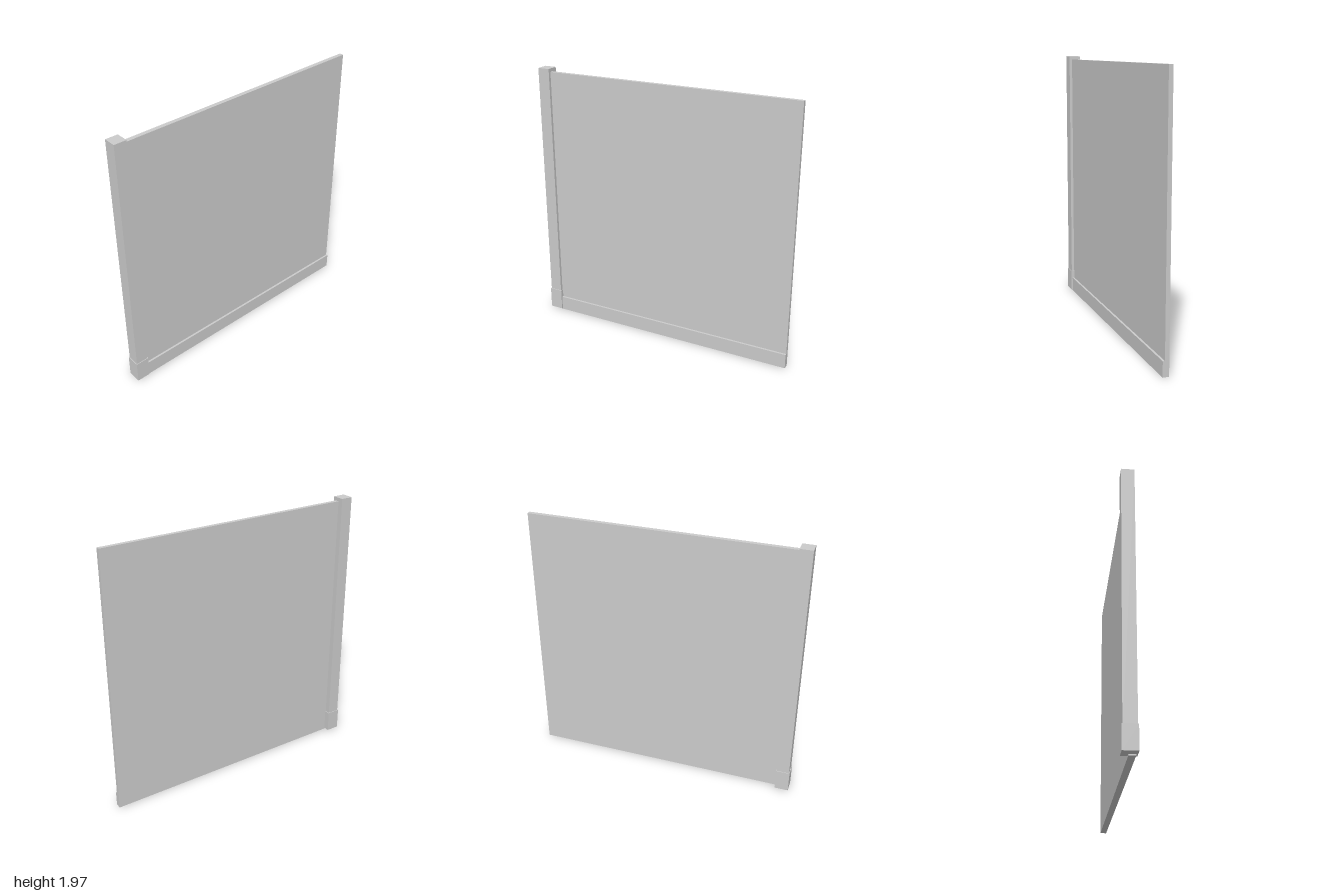
import * as THREE from 'three';

export function createModel() {
  const group = new THREE.Group();
  const material = new THREE.MeshStandardMaterial({ color: 0xcccccc, flatShading: true });

  // Box given by its [min, max] extent on each axis
  function box(name, x, y, z) {
    const size = [x, y, z].map(([a, b]) => b - a);
    const mesh = new THREE.Mesh(new THREE.BoxGeometry(...size), material);
    mesh.position.set(...[x, y, z].map(([a, b]) => (a + b) / 2));
    mesh.name = name;
    group.add(mesh);
  }

  // Thin wall panel, its front edge set into the post
  box('wallPanel', [-0.006, 0.024], [0, 1.945], [-1, 0.94]);
  // Skirting along the foot of one face
  box('baseboard', [0.024, 0.039], [0, 0.11], [-1, 0.94]);
  // Square end post with a slightly wider plinth
  box('endPost', [-0.045, 0.045], [0.1, 1.97], [0.905, 0.995]);
  box('postPlinth', [-0.05, 0.05], [0.008, 0.17], [0.9, 1]);

  return group;
}
